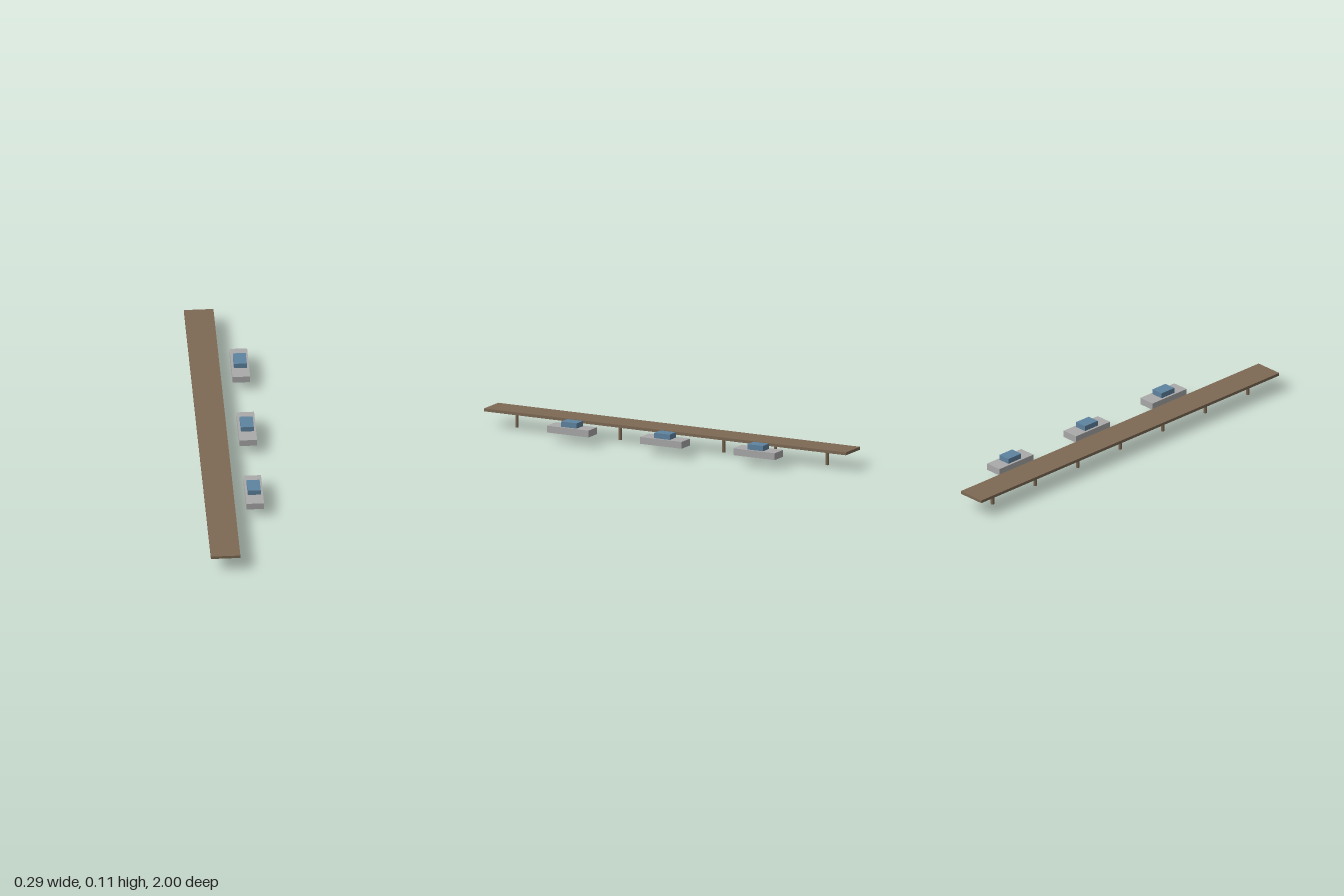
import * as THREE from 'three';

const wood = new THREE.MeshStandardMaterial({ name: 'weathered wood', color: 0x7d6a54 });
const hullGrey = new THREE.MeshStandardMaterial({ name: 'hull grey', color: 0xaaaaaa });
const cabinBlue = new THREE.MeshStandardMaterial({ name: 'cabin blue', color: 0x5f84a0 });
wood.flatShading = false;

function part(name, geometry, material, x, y, z) {
  const mesh = new THREE.Mesh(geometry, material);
  mesh.name = name;
  mesh.position.set(x, y, z);
  return mesh;
}

export function createModel() {
  const model = new THREE.Group();
  model.name = 'pierWithBoats';

  // Long flat deck
  const pier = new THREE.Group();
  pier.name = 'pier';
  pier.add(part('deck', new THREE.BoxGeometry(0.1429, 0.0143, 2), wood, -0.0714, 0.0843, 0));

  // Row of seven round posts under the middle of the deck
  const postGeometry = new THREE.CylinderGeometry(0.0086, 0.0086, 0.08, 8);
  for (let i = -3; i <= 3; i++) {
    pier.add(part('post', postGeometry, wood, -0.0725, 0.04, i * 0.2857));
  }
  model.add(pier);

  // Three moored boats, each a box hull with a small cabin
  const hullGeometry = new THREE.BoxGeometry(0.0857, 0.0337, 0.2286);
  const cabinGeometry = new THREE.BoxGeometry(0.0629, 0.0263, 0.0857);
  for (const z of [-0.5714, -0.0571, 0.4571]) {
    const boat = new THREE.Group();
    boat.name = 'boat';
    boat.position.set(0.1, 0, z);
    boat.add(part('hull', hullGeometry, hullGrey, 0, 0.0641, 0));
    boat.add(part('cabin', cabinGeometry, cabinBlue, 0, 0.0939, 0));
    model.add(boat);
  }

  return model;
}
